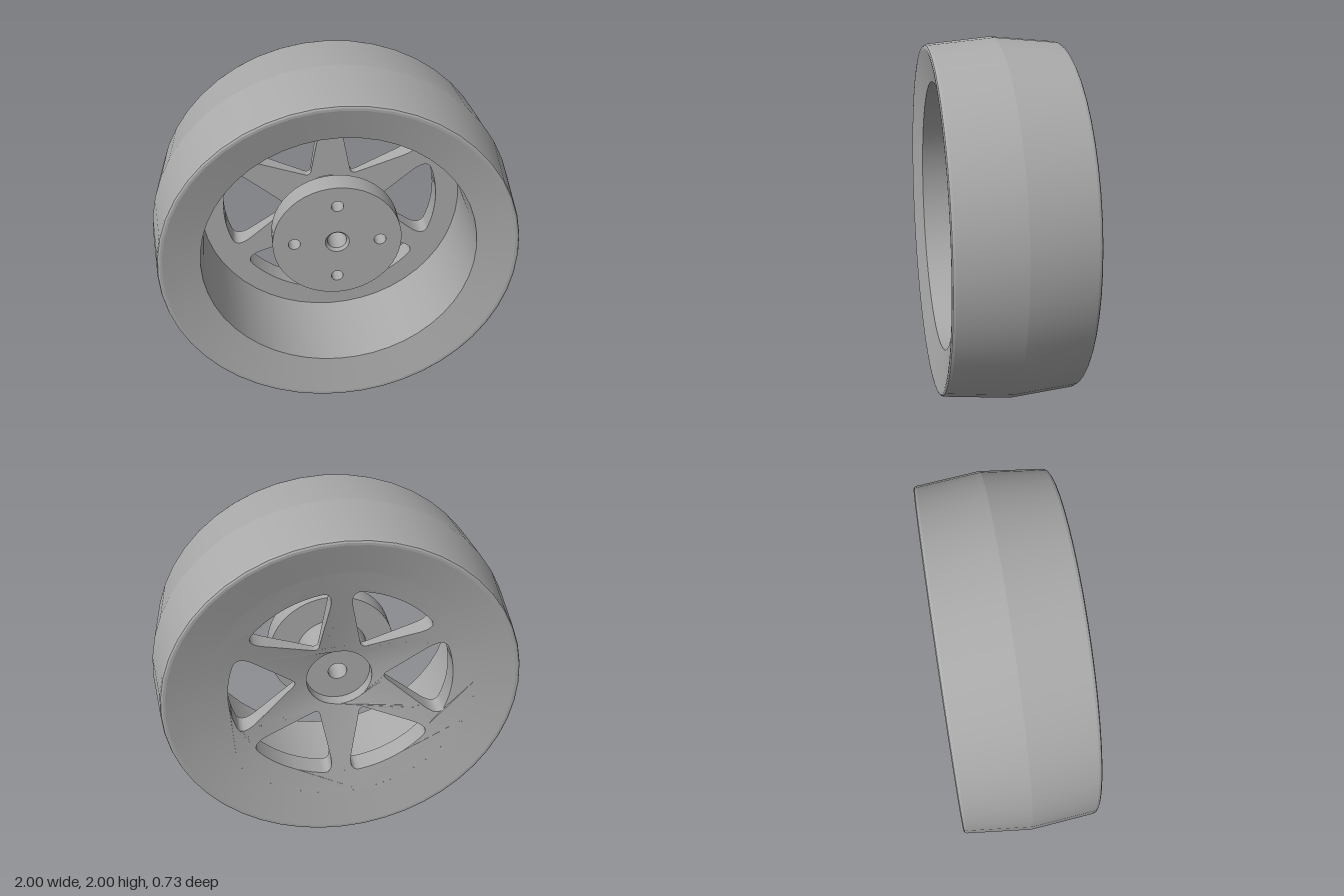
import * as THREE from 'three';
import { toCreasedNormals } from 'three/addons/utils/BufferGeometryUtils.js';

const AXLE = 0.025;   // the rim and hub sit slightly above the tread's centre
const SLOPE = 0.21;   // dish of the two side faces

// Lathe around the z axis; profile points are [radius, z]
function latheZ(profile, segments, crease) {
  const pts = profile.map(([r, z]) => new THREE.Vector2(r, z));
  const geo = new THREE.LatheGeometry(pts, segments).rotateX(Math.PI / 2);
  return toCreasedNormals(geo, crease);
}

function circle(x, y, r, Kind = THREE.Path) {
  const c = new Kind();
  c.absarc(x, y, r, 0, Math.PI * 2, false);
  return c;
}

// Rounded triangular opening between two spokes
function slot(angle) {
  const p = new THREE.Path();
  const at = (x, y) => [
    x * Math.cos(angle) - y * Math.sin(angle),
    x * Math.sin(angle) + y * Math.cos(angle),
  ];
  const a = 0.35;
  const ex = 0.61 * Math.cos(a), ey = 0.61 * Math.sin(a);
  p.moveTo(...at(0.255, -0.02));
  p.lineTo(...at(0.46, -0.196));
  p.quadraticCurveTo(...at(0.546, -0.27), ...at(ex, -ey));
  p.absarc(0, 0, 0.61, angle - a, angle + a, false);
  p.quadraticCurveTo(...at(0.546, 0.27), ...at(0.46, 0.196));
  p.lineTo(...at(0.255, 0.02));
  p.quadraticCurveTo(...at(0.235, 0), ...at(0.255, -0.02));
  return p;
}

// Spoked web: flat towards the front, coned at the back
function webGeometry() {
  const shape = circle(0, 0, 0.74, THREE.Shape);
  shape.holes.push(circle(0, 0, 0.18));
  for (let i = 0; i < 6; i++) shape.holes.push(slot(i * Math.PI / 3));
  let geo = new THREE.ExtrudeGeometry(shape, { depth: 0.1, bevelEnabled: false, curveSegments: 24 });
  geo.translate(0, 0, -0.275);
  const pos = geo.attributes.position;
  for (let i = 0; i < pos.count; i++) {
    if (pos.getZ(i) > -0.2) continue;
    pos.setZ(i, -0.1655 - SLOPE * Math.hypot(pos.getX(i), pos.getY(i)));
  }
  geo = toCreasedNormals(geo, 0.5);
  // Smooth cone normals on the back face
  const nor = geo.attributes.normal, p = geo.attributes.position, n = new THREE.Vector3();
  for (let i = 0; i < p.count; i++) {
    if (nor.getZ(i) > -0.8) continue;
    const x = p.getX(i), y = p.getY(i), r = Math.hypot(x, y);
    n.set(-SLOPE * x / r, -SLOPE * y / r, -1).normalize();
    nor.setXYZ(i, n.x, n.y, n.z);
  }
  return geo;
}

export function createModel() {
  const wheel = new THREE.Group();
  wheel.name = 'wheel';
  const grey = new THREE.MeshStandardMaterial({ color: 0xaaaaaa });
  grey.name = 'grey';
  const add = (name, geo, y) => {
    const m = new THREE.Mesh(geo, grey);
    m.name = name;
    m.position.y = y;
    wheel.add(m);
  };

  // Crowned tread, dished side faces and inner barrel
  const shell = new THREE.LatheGeometry([
    [0.74, -0.321], [0.94, -0.363], [0.953, -0.363], [0.962, -0.358], [0.967, -0.345],
    [1, 0],
    [0.967, 0.345], [0.962, 0.358], [0.953, 0.363], [0.94, 0.363], [0.74, 0.321],
    [0.74, -0.175],
  ].map(([r, z]) => new THREE.Vector2(r, z)), 48).rotateX(Math.PI / 2);
  const pos = shell.attributes.position;
  for (let i = 0; i < pos.count; i++) {
    if (Math.hypot(pos.getX(i), pos.getY(i)) < 0.8) pos.setY(i, pos.getY(i) + AXLE);
  }
  add('tread and barrel', toCreasedNormals(shell, 0.18), 1);

  add('spoked web', webGeometry(), 1 + AXLE);

  // Hub neck with the recess at the back
  add('hub neck', latheZ([
    [0.052, -0.14], [0.18, -0.14], [0.18, -0.203], [0.2, -0.19], [0.2, 0.07],
  ], 40, 0.5), 1 + AXLE);

  // Chamfered axle bore
  add('axle bore', latheZ([[0.066, 0.185], [0.052, 0.17], [0.052, -0.14]], 32, 0.5), 1 + AXLE);

  // Mounting flange with four bolt holes
  const flange = circle(0, 0, 0.353, THREE.Shape);
  flange.holes.push(circle(0, 0, 0.066));
  for (let i = 0; i < 4; i++) {
    const a = i * Math.PI / 2;
    flange.holes.push(circle(0.235 * Math.cos(a), 0.235 * Math.sin(a), 0.033));
  }
  const flangeGeo = new THREE.ExtrudeGeometry(flange, { depth: 0.125, bevelEnabled: false, curveSegments: 24 });
  flangeGeo.translate(0, 0, 0.06);
  add('hub flange', toCreasedNormals(flangeGeo, 0.5), 1 + AXLE);

  return wheel;
}
